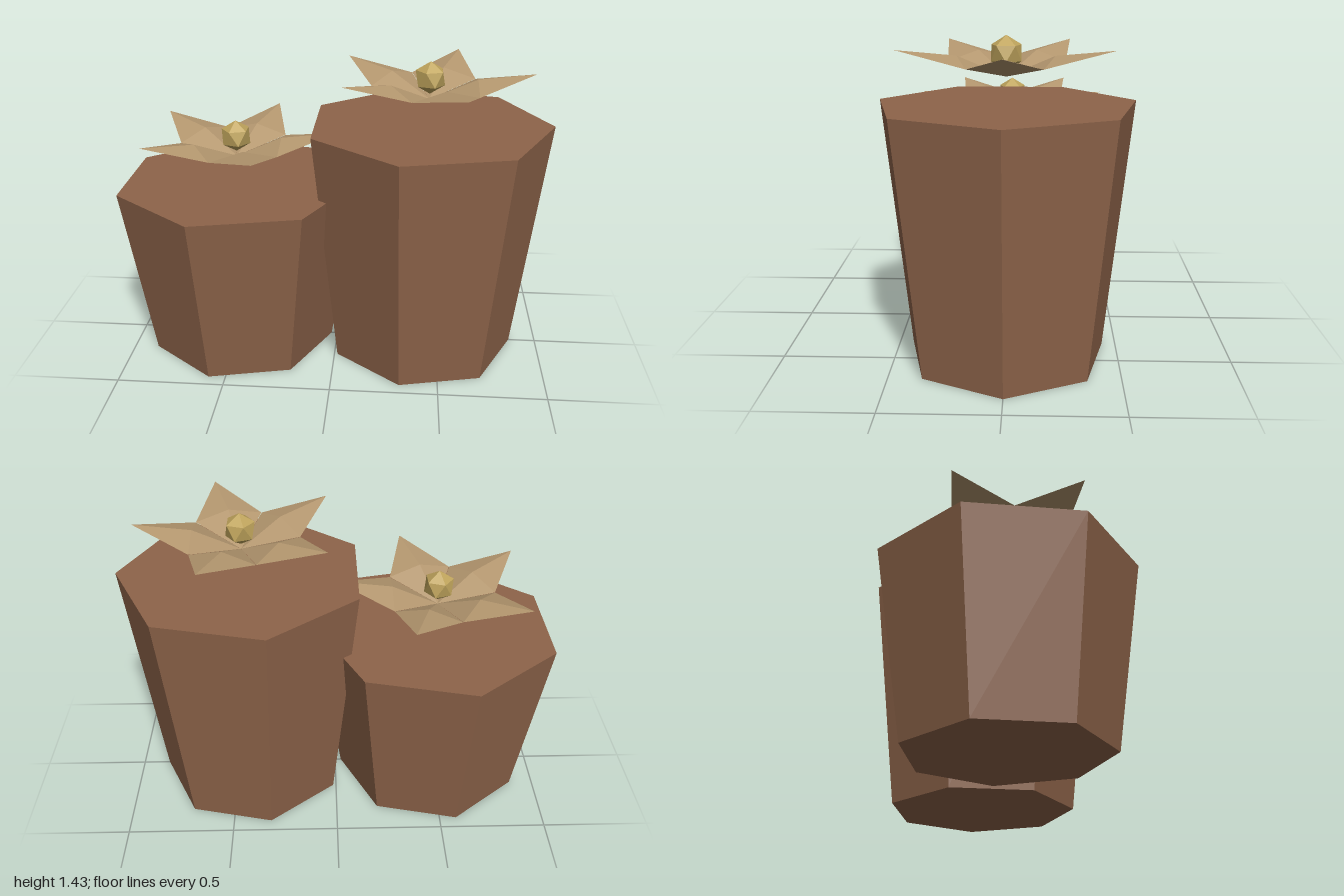
import * as THREE from 'three';

const clay = new THREE.MeshStandardMaterial({ color: 0x8e644a });
clay.name = 'clay brown';
const petalTan = new THREE.MeshStandardMaterial({ color: 0xb4976f });
petalTan.name = 'petal tan';
const gold = new THREE.MeshStandardMaterial({ color: 0xbfa45c });
gold.name = 'flower centre gold';

function addMesh(parent, name, geometry, material) {
  const mesh = new THREE.Mesh(geometry, material);
  mesh.name = name;
  parent.add(mesh);
  return mesh;
}

// Kite-shaped petal pointing along +x: flat underside, ridged top
function petalGeometry() {
  const root = [0, 0, 0], tip = [0.475, 0.125, 0];
  const left = [0.215, 0.056, -0.155], right = [0.215, 0.056, 0.155];
  const ridge = [0.215, 0.095, 0];
  const faces = [
    root, right, ridge, right, tip, ridge,
    tip, left, ridge, left, root, ridge,
    root, left, tip, root, tip, right,
  ];
  const geometry = new THREE.BufferGeometry();
  geometry.setAttribute('position', new THREE.Float32BufferAttribute(faces.flat(), 3));
  geometry.computeVertexNormals();
  return geometry;
}

// Five petals around a faceted bead
function makeFlower() {
  const flower = new THREE.Group();
  flower.name = 'flower';
  const petal = petalGeometry();
  for (let i = 0; i < 5; i++) {
    addMesh(flower, 'petal', petal, petalTan).rotation.y = (i * Math.PI * 2) / 5;
  }
  const bead = new THREE.IcosahedronGeometry(0.075, 0);
  bead.rotateZ(Math.atan(2 / (1 + Math.sqrt(5)))); // one corner straight up
  addMesh(flower, 'flowerCentre', bead, gold).position.y = 0.1;
  return flower;
}

// Seven-sided tapered pot with a flower hovering above it
function makePot(name, x, height) {
  const pot = new THREE.Group();
  pot.name = name;
  pot.position.x = x;
  const body = new THREE.CylinderGeometry(0.578, 0.45, height, 7, 1, false, Math.PI / 2)
    .toNonIndexed();
  body.computeVertexNormals();
  addMesh(pot, 'potBody', body, clay).position.y = height / 2;
  const flower = makeFlower();
  flower.position.y = height + 0.118;
  pot.add(flower);
  return pot;
}

export function createModel() {
  const model = new THREE.Group();
  model.name = 'flowerPots';
  model.add(makePot('tallPot', 0.42, 1.14), makePot('shortPot', -0.48, 0.84));
  return model;
}
